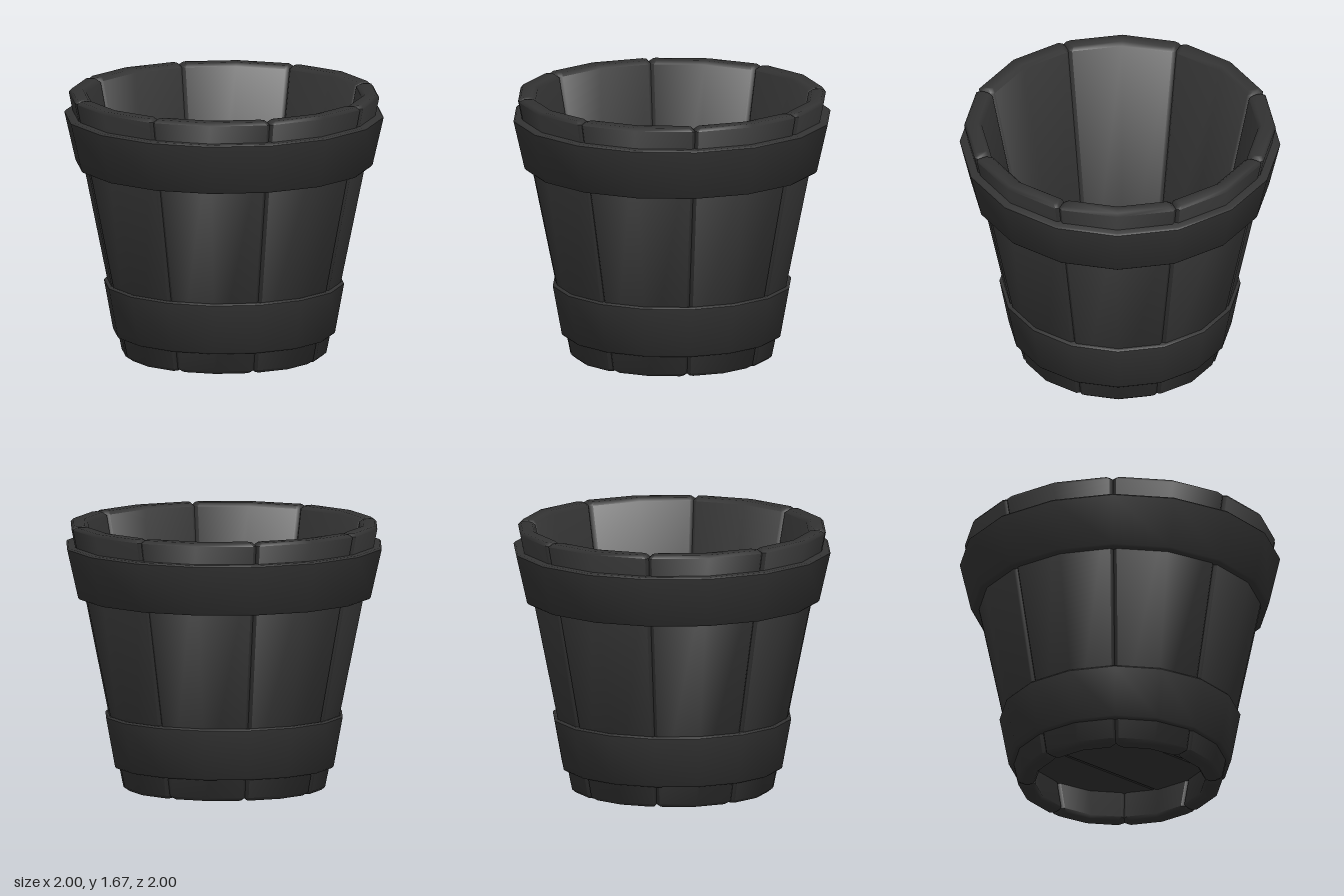
import * as THREE from 'three';
import { toCreasedNormals } from 'three/addons/utils/BufferGeometryUtils.js';

const STAVES = 8, HEIGHT = 1.67, WALL = 0.11, BEVEL = 0.02;
const outerRadius = (y) => 0.637 + 0.203 * y;

// Point on a two-facet arc: t runs 0..1 across one stave, at radius r
function arcPoint(t, r, y) {
  const half = Math.PI / STAVES;
  const k = t < 0.5 ? 0 : 1, f = t * 2 - k;
  const a = k * half, b = (k + 1) * half;
  return [
    r * (Math.cos(a) * (1 - f) + Math.cos(b) * f), y,
    r * (Math.sin(a) * (1 - f) + Math.sin(b) * f),
  ];
}

// Bevelled, tapering stave lofted through four cross-sections
function staveGeometry() {
  const positions = [], index = [], N = 10;
  const sections = [[0, BEVEL], [BEVEL, 0], [HEIGHT - BEVEL, 0], [HEIGHT, BEVEL]];
  for (const [y, inset] of sections) {
    const ro = outerRadius(y) - inset, ri = outerRadius(y) - WALL + inset;
    const s = inset / (0.765 * ro), e = s + BEVEL / (0.765 * ro);
    const loop = [
      [s, ro - BEVEL], [e, ro], [0.5, ro], [1 - e, ro], [1 - s, ro - BEVEL],
      [1 - s, ri + BEVEL], [1 - e, ri], [0.5, ri], [e, ri], [s, ri + BEVEL],
    ];
    for (const [t, r] of loop) positions.push(...arcPoint(t, r, y));
  }
  for (let j = 0; j < 3; j++) {
    for (let i = 0; i < N; i++) {
      const a = j * N + i, b = j * N + (i + 1) % N;
      index.push(a, a + N, b, b, a + N, b + N);
    }
  }
  // End caps
  for (let i = 0; i < 4; i++) {
    const p = i, q = i + 1, r = 8 - i, s = 9 - i, T = 3 * N;
    index.push(p, q, r, p, r, s);
    index.push(T + p, T + r, T + q, T + p, T + s, T + r);
  }
  const g = new THREE.BufferGeometry();
  g.setAttribute('position', new THREE.Float32BufferAttribute(positions, 3));
  g.setIndex(index);
  return toCreasedNormals(g, 0.95);
}

// Flared hoop with softened outer edges
function hoopGeometry(y0, r0, y1, r1) {
  const c = 0.01;
  const profile = [
    [r0 - 0.08, y0], [r0 - c, y0], [r0, y0 + c],
    [r1, y1 - c], [r1 - c, y1], [r1 - 0.08, y1], [r0 - 0.08, y0],
  ].map(([r, y]) => new THREE.Vector2(r, y));
  return toCreasedNormals(new THREE.LatheGeometry(profile, STAVES * 2), 0.95);
}

// Floor plank between z0 and z1, trimmed to the round of the tub
function plankGeometry(z0, z1, radius) {
  const bevel = 0.008, steps = 8, right = [], left = [];
  const a = Math.max(z0, -radius + 0.01) + bevel, b = Math.min(z1, radius - 0.01) - bevel;
  for (let i = 0; i <= steps; i++) {
    const z = a + (b - a) * i / steps;
    const x = Math.sqrt(radius * radius - z * z);
    right.push(new THREE.Vector2(x, z));
    left.unshift(new THREE.Vector2(-x, z));
  }
  const g = new THREE.ExtrudeGeometry(new THREE.Shape([...right, ...left]), {
    depth: 0.06, bevelEnabled: true, bevelSize: bevel, bevelThickness: bevel, bevelSegments: 1,
  });
  return g.rotateX(Math.PI / 2);
}

export function createModel() {
  const tub = new THREE.Group();
  tub.name = 'woodenTub';
  const material = new THREE.MeshStandardMaterial({ color: 0x333333 });
  const add = (name, geometry, parent = tub) => {
    const mesh = new THREE.Mesh(geometry, material);
    mesh.name = name;
    parent.add(mesh);
    return mesh;
  };

  // Ring of staves
  const wall = new THREE.Group();
  wall.name = 'staves';
  tub.add(wall);
  const stave = staveGeometry();
  for (let i = 0; i < STAVES; i++) {
    add('stave', stave, wall).rotation.y = i * Math.PI * 2 / STAVES;
  }

  // Hoops
  add('upperHoop', hoopGeometry(1.21, 0.93, 1.535, 1.0));
  add('lowerHoop', hoopGeometry(0.14, 0.695, 0.47, 0.752));

  // Plank floor
  const floor = new THREE.Group();
  floor.name = 'floor';
  floor.position.y = 0.27;
  tub.add(floor);
  for (const z of [-0.69, -0.24, 0.21]) {
    add('floorPlank', plankGeometry(z, z + 0.45, 0.61), floor);
  }
  return tub;
}
